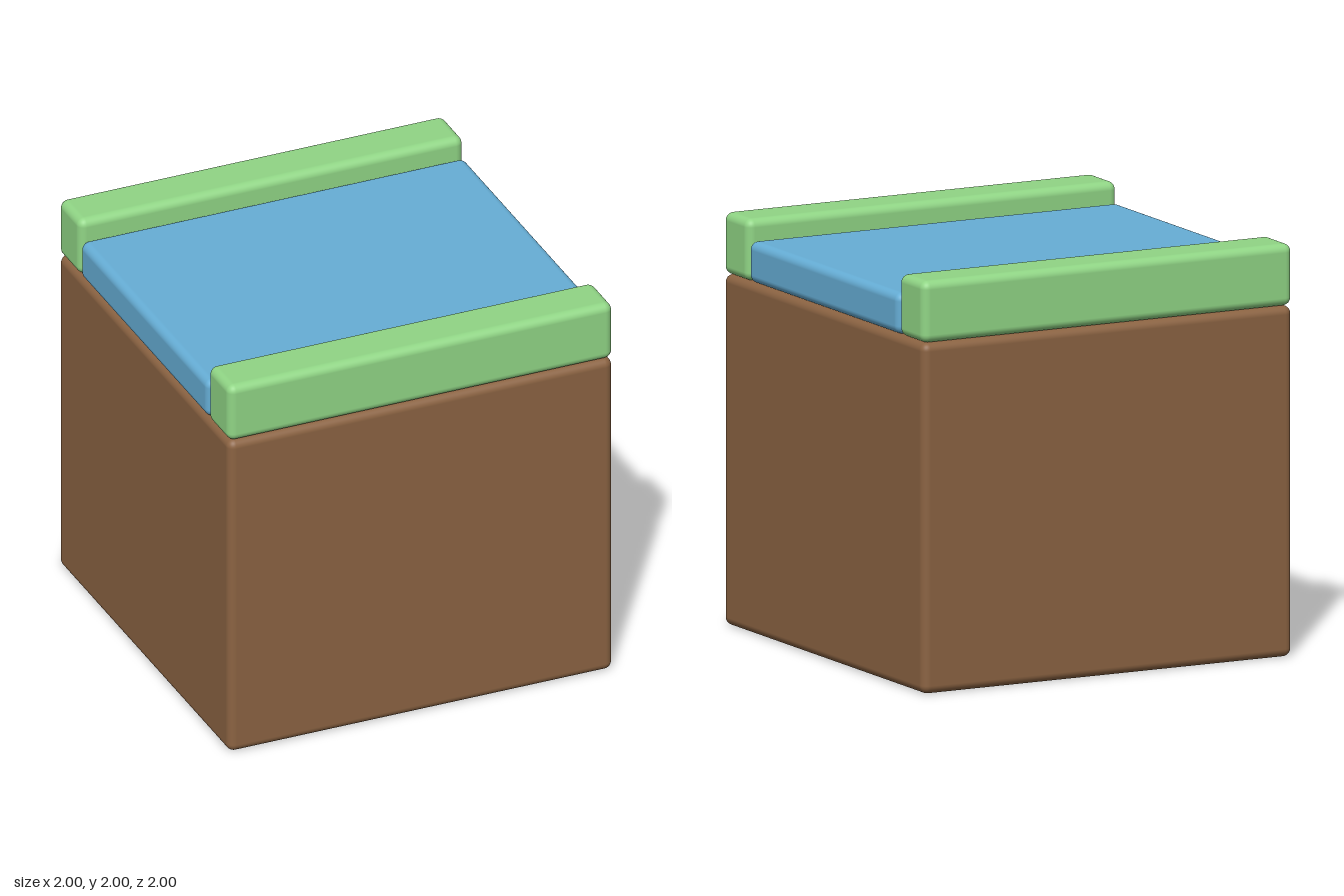
import * as THREE from 'three';
import { RoundedBoxGeometry } from 'three/addons/geometries/RoundedBoxGeometry.js';

const BEVEL = 0.04;

// Rounded block resting on height y, centred on x = 0
function block(name, color, w, h, d, y, z) {
  const mesh = new THREE.Mesh(
    new RoundedBoxGeometry(w, h, d, 4, BEVEL),
    new THREE.MeshStandardMaterial({ color })
  );
  mesh.name = name;
  mesh.position.set(0, y + h / 2, z);
  return mesh;
}

export function createModel() {
  const group = new THREE.Group();
  group.name = 'riverTile';

  // Earth cube
  group.add(block('earth', 0x8b6342, 2, 1.7, 2, 0, 0));

  // Water channel running along x
  group.add(block('water', 0x66aed6, 2, 0.2, 1.5, 1.7, 0));

  // Grass banks at front and back
  for (const [name, side] of [['frontGrassBank', 1], ['backGrassBank', -1]]) {
    group.add(block(name, 0x90d585, 2, 0.3, 0.25, 1.7, side * 0.875));
  }

  return group;
}
